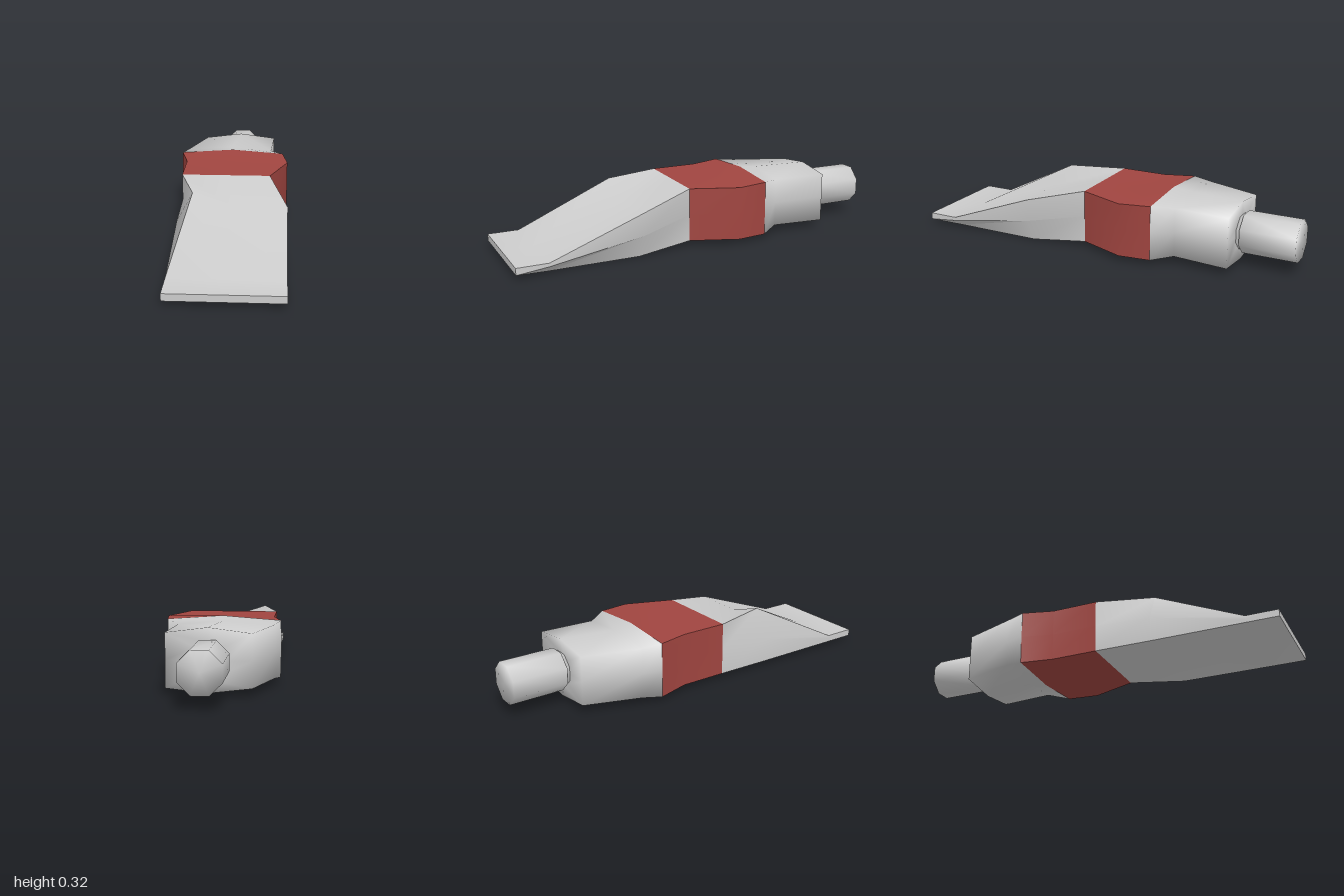
import * as THREE from 'three';
import { mergeVertices, toCreasedNormals } from 'three/addons/utils/BufferGeometryUtils.js';

// Cross-sections from front to back: z, then eight [x, y] points clockwise from the front:
// top left, top mid, top right, right mid, bottom right, bottom mid, bottom left, left mid
const section = (z, ...points) => points.map(([x, y]) => [x, y, z]);

const nose = section(1, [-.25, .06], [.02, .06], [.29, .06], [.29, .042], [.29, .025], [.02, .025], [-.25, .025], [-.25, .042]);
const pinch = section(.84, [-.25, .06], [.02, .06], [.29, .06], [.29, .042], [.235, 0], [.02, .025], [-.25, .025], [-.25, .042]);
const dent = section(.37, [-.17, .3], [.02, .235], [.29, .235], [.29, .12], [.235, 0], [.02, .025], [-.25, .025], [-.25, .15]);
const bandFront = section(.08, [-.25, .3], [-.02, .3], [.2, .3], [.2, .165], [.2, .027], [-.02, .027], [-.25, .027], [-.25, .165]);
const bandMid = section(-.16, [-.25, .3], [.02, .302], [.29, .3], [.29, .165], [.29, .027], [.02, .025], [-.25, .027], [-.25, .165]);
const bandBack = section(-.32, [-.29, .303], [-.01, .323], [.265, .303], [.265, .165], [.265, .024], [-.01, .003], [-.29, .022], [-.293, .165]);
const waist = section(-.42, [-.265, .295], [-.02, .31], [.2, .29], [.2, .165], [.2, .04], [-.02, .022], [-.265, .035], [-.27, .165]);
const shoulder = section(-.7, [-.18, .29], [.02, .315], [.215, .29], [.215, .165], [.215, .035], [.02, .015], [-.18, .04], [-.18, .165]);
const collar = section(-.7, ...Array.from({ length: 8 }, (_, i) => {
  const a = Math.PI * (.75 - i / 4);
  return [.018 + .085 * Math.cos(a), .163 + .085 * Math.sin(a)];
}));

// Skins a row of cross-sections; a crease angle of 0 keeps everything smooth
function skin(rings, crease, closeFront = false) {
  const index = [];
  for (let i = 0; i < rings.length - 1; i++) {
    for (let j = 0; j < 8; j++) {
      const k = (j + 1) % 8;
      const a = i * 8 + j, b = i * 8 + k, c = a + 8, d = b + 8;
      index.push(a, b, c, b, d, c);
    }
  }
  if (closeFront) for (let j = 1; j < 7; j++) index.push(0, j + 1, j);
  const geometry = new THREE.BufferGeometry();
  geometry.setAttribute('position', new THREE.Float32BufferAttribute(rings.flat(2), 3));
  geometry.setIndex(index);
  geometry.computeVertexNormals();
  return crease ? toCreasedNormals(geometry, crease) : geometry;
}

// Eight-sided rod along z, smooth over its rims
function rod(radius, zFront, zBack) {
  let geometry = new THREE.CylinderGeometry(radius, radius, zFront - zBack, 8);
  geometry.deleteAttribute('normal');
  geometry.deleteAttribute('uv');
  geometry = mergeVertices(geometry);
  geometry.rotateY(Math.PI / 8);
  geometry.rotateX(Math.PI / 2);
  geometry.translate(.018, .163, (zFront + zBack) / 2);
  geometry.computeVertexNormals();
  return geometry;
}

export function createModel() {
  const group = new THREE.Group();
  const grey = new THREE.MeshStandardMaterial({ color: 0xcccccc, side: THREE.DoubleSide });
  const red = new THREE.MeshStandardMaterial({ color: 0xa04540, side: THREE.DoubleSide });
  const add = (name, geometry, material) => {
    const mesh = new THREE.Mesh(geometry, material);
    mesh.name = name;
    group.add(mesh);
  };

  // Squeezed tube: flattened front, coloured band, rounded rear
  add('flattenedFront', skin([nose, pinch, dent, bandFront], .75, true), grey);
  add('colouredBand', skin([bandFront, bandMid, bandBack], .9), red);
  add('tubeRear', skin([bandBack, waist, shoulder, collar], 0), grey);

  // Neck and screw cap
  add('neck', rod(.09, -.68, -.73), grey);
  add('cap', rod(.0975 / Math.cos(Math.PI / 8), -.72, -1), grey);
  return group;
}
